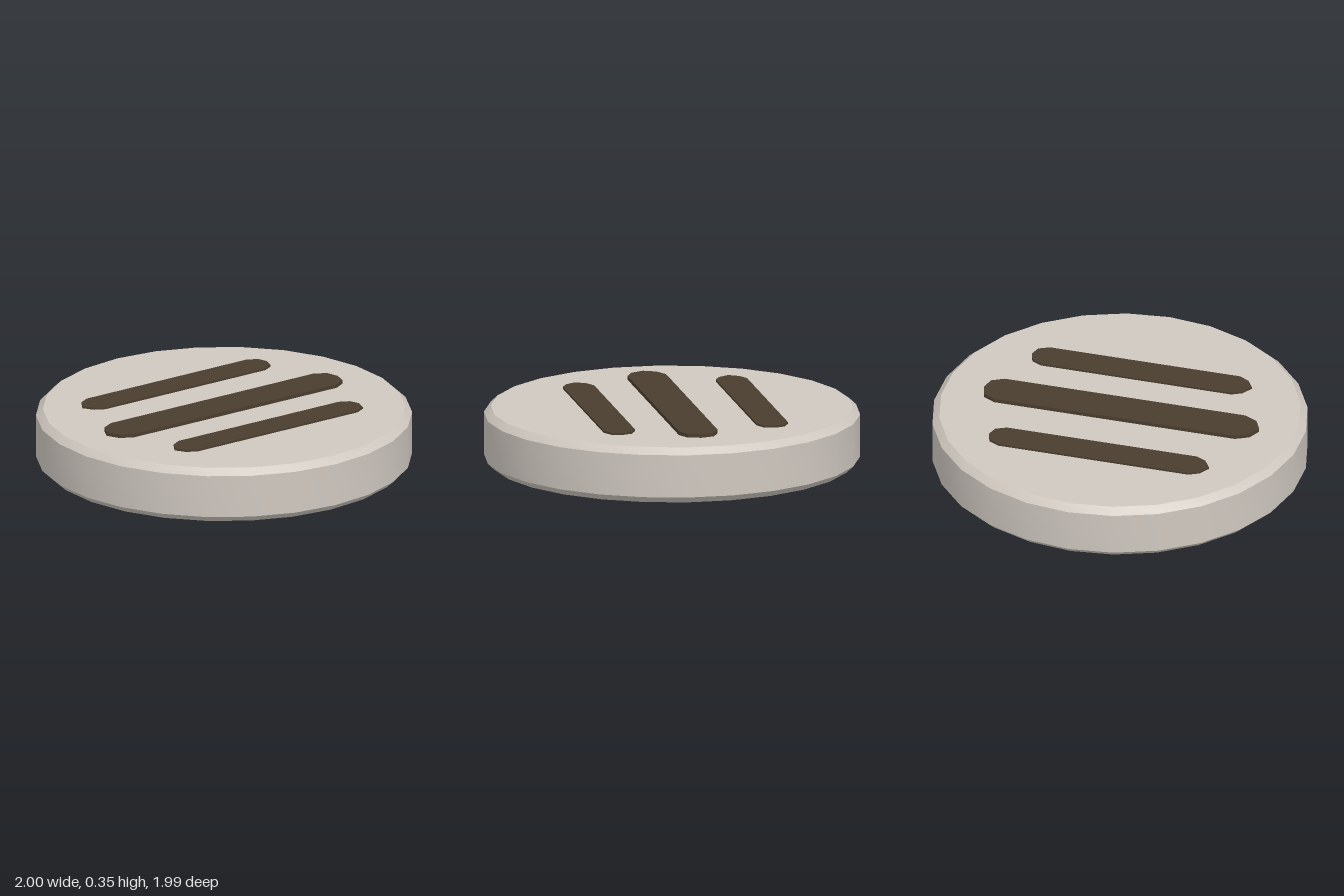
import * as THREE from 'three';
import { toCreasedNormals } from 'three/addons/utils/BufferGeometryUtils.js';

const SIDES = 26;

// Elongated bar with blunt pointed ends, running along z and standing between two heights
function makeBar(name, material, { x, halfWidth, straight, back, front, bottom, top }) {
  const w = halfWidth;
  const outline = [
    [-w, -straight], [w, -straight],
    [w * 0.66, -(front - 0.035)], [0, -front], [-w * 0.66, -(front - 0.035)],
  ];
  const backEnd = [
    [w, straight], [w * 0.66, back - 0.018], [0, back], [-w * 0.66, back - 0.018], [-w, straight],
  ];
  // Counter-clockwise loop: front tip, right side, back tip, left side
  const loop = [outline[0], outline[4], outline[3], outline[2], outline[1], ...backEnd];
  const shape = new THREE.Shape(loop.map(([px, py]) => new THREE.Vector2(px, py)));
  const geometry = new THREE.ExtrudeGeometry(shape, { depth: top - bottom, bevelEnabled: false });
  geometry.rotateX(-Math.PI / 2);
  const bar = new THREE.Mesh(geometry, material);
  bar.name = name;
  bar.position.set(x, bottom, 0);
  return bar;
}

export function createModel() {
  const model = new THREE.Group();
  model.name = 'slottedDisc';

  const stone = new THREE.MeshStandardMaterial({ color: 0xcfc8c0 });
  const dark = new THREE.MeshStandardMaterial({ color: 0x4a3d2e });

  // Flat disc with a chamfered rim on both faces
  const profile = [
    [0, 0.035], [0.963, 0.035], [1, 0.07], [1, 0.3], [0.963, 0.335], [0, 0.335],
  ].map(([r, y]) => new THREE.Vector2(r, y));
  const discGeometry = new THREE.LatheGeometry(profile, SIDES, Math.PI / 2);
  const disc = new THREE.Mesh(toCreasedNormals(discGeometry, 0.5), stone);
  disc.name = 'disc';
  model.add(disc);

  // Three bars passing through the disc, proud of both faces
  model.add(makeBar('centreBar', dark, {
    x: -0.003, halfWidth: 0.105, straight: 0.665, back: 0.75, front: 0.77, bottom: 0, top: 0.355,
  }));
  const sideBar = {
    halfWidth: 0.085, straight: 0.525, back: 0.6, front: 0.615, bottom: 0.024, top: 0.346,
  };
  model.add(makeBar('leftBar', dark, { x: 0.397, ...sideBar }));
  model.add(makeBar('rightBar', dark, { x: -0.433, ...sideBar }));

  return model;
}
